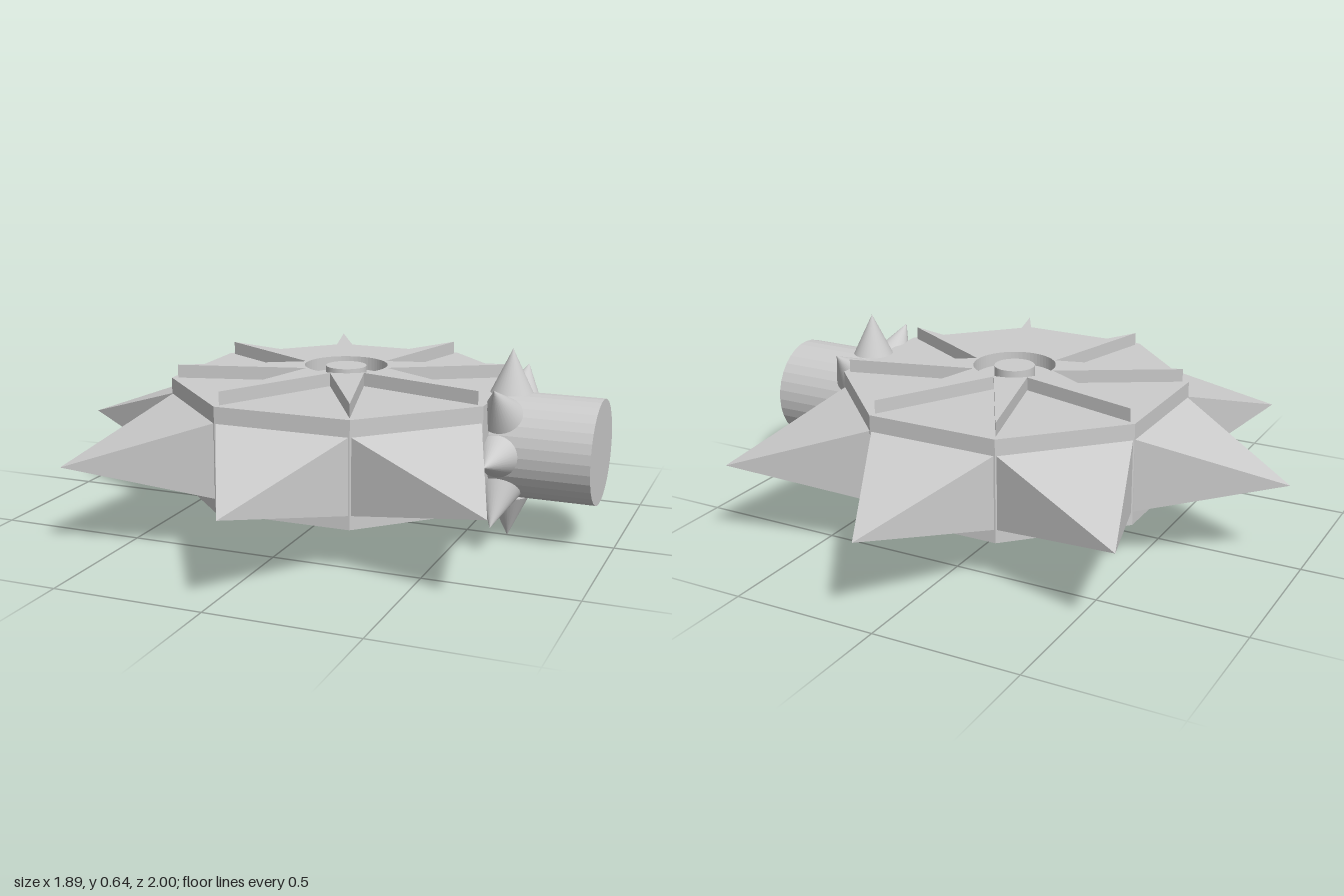
import * as THREE from 'three';

const smooth = new THREE.MeshStandardMaterial({ color: 0xcccccc });
const faceted = new THREE.MeshStandardMaterial({ color: 0xcccccc, flatShading: true });

function part(name, geometry, material, x = 0, y = 0, z = 0) {
  const mesh = new THREE.Mesh(geometry, material);
  mesh.name = name;
  mesh.position.set(x, y, z);
  return mesh;
}

// Four-cornered spike pointing along +z, with a crease along its underside
function spikeGeometry() {
  const tip = [0, 0.285, 1.0];
  const w = 0.225, z = 0.553, top = 0.44, bottom = 0.19;
  const rim = [[-w, top, z], [-w, bottom, z], [0, 0.23, z], [w, bottom, z], [w, top, z]];
  const positions = [];
  rim.forEach((p, i) => positions.push(...p, ...rim[(i + 1) % rim.length], ...tip));
  const g = new THREE.BufferGeometry();
  g.setAttribute('position', new THREE.Float32BufferAttribute(positions, 3));
  g.computeVertexNormals();
  return g;
}

// Raised eight-pointed star plate with a round opening
function starGeometry() {
  const points = [];
  for (let i = 0; i < 16; i++) {
    const r = i % 2 ? 0.578 : 0.148, a = i * Math.PI / 8;
    points.push(new THREE.Vector2(r * Math.cos(a), r * Math.sin(a)));
  }
  const shape = new THREE.Shape(points);
  shape.holes.push(new THREE.Path().absarc(0, 0, 0.142, 0, Math.PI * 2, true));
  return new THREE.ExtrudeGeometry(shape, { depth: 0.045, bevelEnabled: false, curveSegments: 32 })
    .rotateX(-Math.PI / 2);
}

export function createModel() {
  const model = new THREE.Group();
  model.name = 'spikedDisc';

  // Octagonal disc with its star and centre button
  const disc = new THREE.Group();
  disc.name = 'disc';
  disc.position.x = 0.055;
  model.add(disc);
  const body = new THREE.CylinderGeometry(0.6, 0.6, 0.35, 8).rotateY(Math.PI / 8);
  disc.add(part('body', body, faceted, 0, 0.32));
  disc.add(part('starPlate', starGeometry(), faceted, 0, 0.495));
  disc.add(part('centreButton', new THREE.CylinderGeometry(0.07, 0.07, 0.045, 32), smooth, 0, 0.5155));

  // Spikes on seven sides; the +x side carries the neck
  const spike = spikeGeometry();
  for (let i = 0; i < 8; i++) {
    if (i === 2) continue;
    const mesh = part('spike', spike, faceted);
    mesh.rotation.y = i * Math.PI / 4;
    disc.add(mesh);
  }

  // Neck with a collar of small cones
  const neck = new THREE.Group();
  neck.name = 'neck';
  neck.position.y = 0.32;
  model.add(neck);
  const tube = new THREE.CylinderGeometry(0.175, 0.175, 0.4, 32).rotateZ(Math.PI / 2);
  neck.add(part('neckCylinder', tube, faceted, 0.743));
  const cone = new THREE.ConeGeometry(0.07, 0.145, 32).translate(0, 0.2475, 0);
  for (let i = 0; i < 8; i++) {
    const mesh = part('collarSpike', cone, smooth, 0.64);
    mesh.rotation.x = i * Math.PI / 4;
    neck.add(mesh);
  }
  return model;
}
